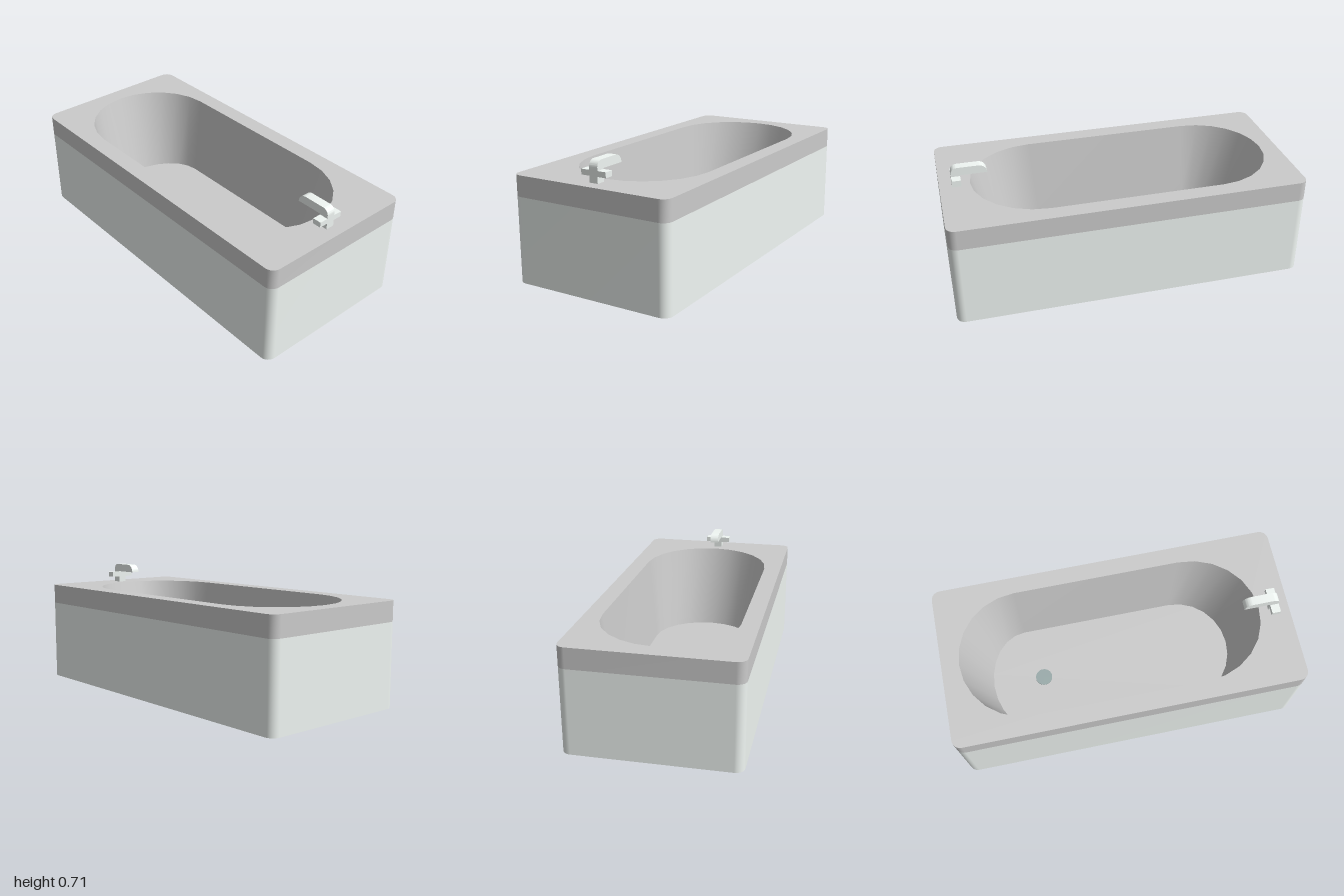
import * as THREE from 'three';
import { toCreasedNormals } from 'three/addons/utils/BufferGeometryUtils.js';

const grey = new THREE.MeshStandardMaterial({ color: 0xcccccc });
const enamel = new THREE.MeshStandardMaterial({ color: 0xf0f6f3 });
const drainColor = new THREE.MeshStandardMaterial({ color: 0x9aabaa });

const LENGTH = 2, DEPTH = 0.94, CORNER = 0.05;
const BODY_TOP = 0.475, RIM_TOP = 0.59, FLOOR = 0.1;

// Adds one elliptical arc to a ring of (x, z) points
function addArc(ring, cx, cz, rx, rz, start, sweep, segments) {
  for (let i = 0; i <= segments; i++) {
    const a = start + (sweep * i) / segments;
    ring.push(new THREE.Vector2(cx + rx * Math.cos(a), cz + rz * Math.sin(a)));
  }
}

// Rounded rectangle seen from above
function rectangleRing() {
  const ring = [];
  const x = LENGTH / 2 - CORNER, z = DEPTH / 2 - CORNER;
  [[x, z], [-x, z], [-x, -z], [x, -z]].forEach(([cx, cz], i) =>
    addArc(ring, cx, cz, CORNER, CORNER, (i * Math.PI) / 2, Math.PI / 2, 6));
  return ring;
}

// Straight sides with a half ellipse at each end
function basinRing(left, leftCentre, rightCentre, right, halfWidth) {
  const ring = [];
  addArc(ring, rightCentre, 0, right - rightCentre, halfWidth, -Math.PI / 2, Math.PI, 12);
  addArc(ring, leftCentre, 0, leftCentre - left, halfWidth, Math.PI / 2, Math.PI, 12);
  return ring;
}

// Wall between two rings: faces outward going up, inward going down
function wall(ringA, yA, ringB, yB) {
  const n = ringA.length, positions = [], index = [];
  for (const [ring, y] of [[ringA, yA], [ringB, yB]])
    for (const p of ring) positions.push(p.x, y, p.y);
  for (let i = 0; i < n; i++) {
    const j = (i + 1) % n;
    index.push(i, n + i, j, j, n + i, n + j);
  }
  const geometry = new THREE.BufferGeometry();
  geometry.setAttribute('position', new THREE.Float32BufferAttribute(positions, 3));
  geometry.setIndex(index);
  geometry.computeVertexNormals();
  return geometry;
}

// Flat horizontal face, optionally with a hole
function cap(ring, y, up = true, hole = null) {
  const shape = new THREE.Shape(ring);
  if (hole) shape.holes.push(new THREE.Path(hole));
  return new THREE.ShapeGeometry(shape).rotateX(up ? -Math.PI / 2 : Math.PI / 2).translate(0, y, 0);
}

function add(parent, name, geometry, material, x = 0, y = 0, z = 0) {
  const mesh = new THREE.Mesh(geometry, material);
  mesh.name = name;
  mesh.position.set(x, y, z);
  parent.add(mesh);
  return mesh;
}

function addGroup(parent, name) {
  const group = new THREE.Group();
  group.name = name;
  parent.add(group);
  return group;
}

export function createModel() {
  const model = new THREE.Group();
  model.name = 'bathtub';

  const outer = rectangleRing();
  const opening = basinRing(-0.9, -0.53, 0.44, 0.83, 0.372);
  const floor = basinRing(-0.77, -0.53, 0.4, 0.7, 0.317);

  // Outer casing
  const body = addGroup(model, 'body');
  add(body, 'bodySides', wall(outer, 0, outer, BODY_TOP), enamel);
  add(body, 'bodyBase', cap(outer, 0, false), enamel);

  // Rim band and flat ledge around the opening
  const rim = addGroup(model, 'rim');
  add(rim, 'rimBand', wall(outer, BODY_TOP, outer, RIM_TOP), grey);
  add(rim, 'rimLedge', cap(outer, RIM_TOP, true, opening), grey);

  // Sloping basin
  const basin = addGroup(model, 'basin');
  add(basin, 'basinWall', wall(opening, RIM_TOP, floor, FLOOR), grey);
  add(basin, 'basinFloor', cap(floor, FLOOR), grey);
  add(basin, 'drain', new THREE.CylinderGeometry(0.05, 0.05, 0.006, 32), drainColor, -0.46, FLOOR + 0.003, 0);

  // Tap: post, cross handle and spout reaching over the basin
  const tap = addGroup(model, 'tap');
  add(tap, 'tapPost', new THREE.BoxGeometry(0.05, 0.07, 0.05), enamel, 0.905, 0.625, 0);
  add(tap, 'tapHandle', new THREE.BoxGeometry(0.05, 0.03, 0.15), enamel, 0.905, 0.64, 0);

  const profile = new THREE.Shape();
  profile.moveTo(0.73, 0.66);
  profile.lineTo(0.93, 0.66);
  profile.lineTo(0.93, 0.672);
  profile.absarc(0.895, 0.672, 0.035, 0, Math.PI / 2, false);
  profile.lineTo(0.777, 0.707);
  profile.absarc(0.777, 0.66, 0.047, Math.PI / 2, Math.PI, false);
  const spout = new THREE.ExtrudeGeometry(profile, { depth: 0.05, bevelEnabled: false, curveSegments: 8 });
  add(tap, 'tapSpout', toCreasedNormals(spout, 0.6), enamel, 0, 0, -0.025);

  return model;
}
